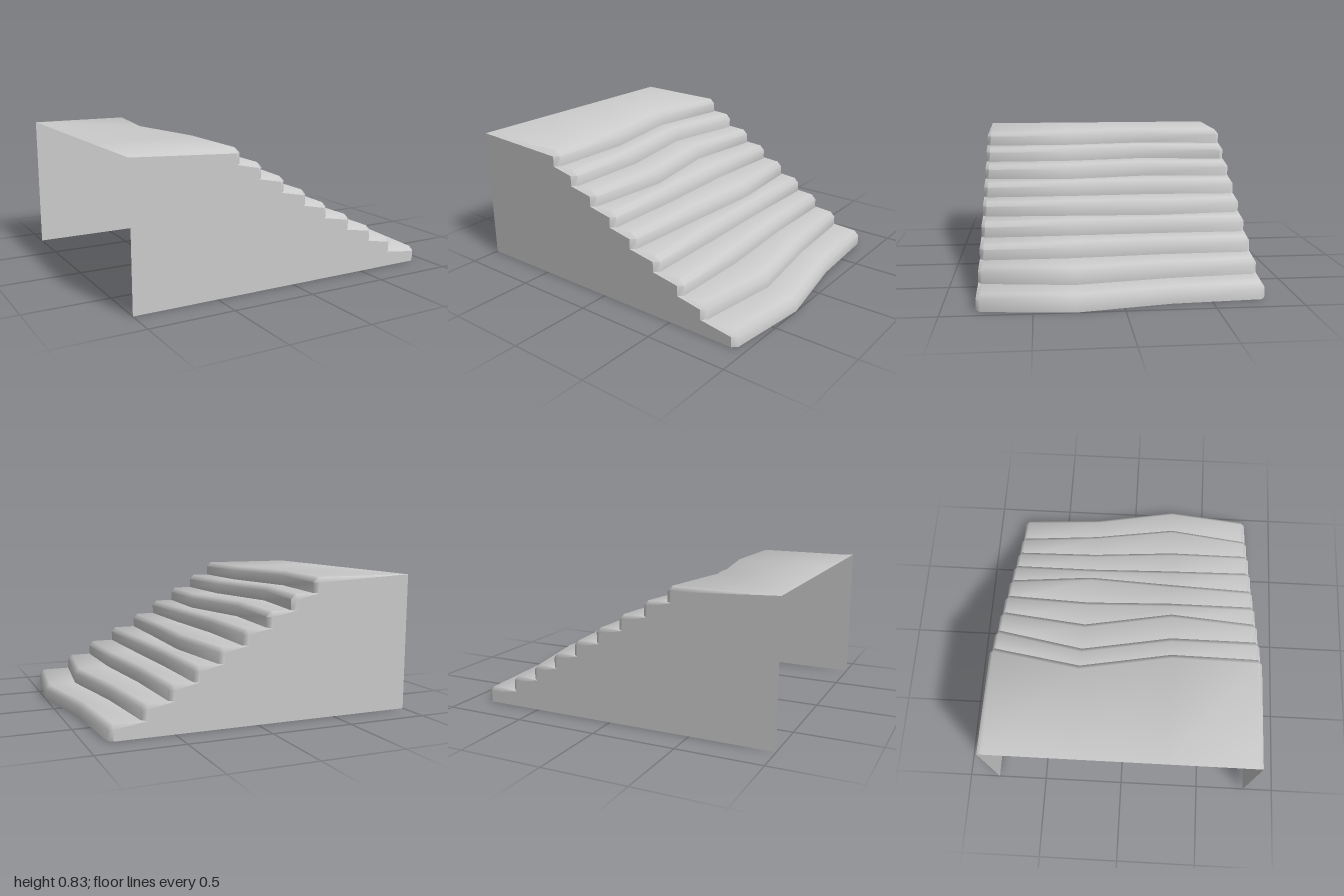
import * as THREE from 'three';
import { toCreasedNormals } from 'three/addons/utils/BufferGeometryUtils.js';

const HALF_DEPTH = 0.81, BACK = -1, HEIGHT = 0.83, BEVEL = 0.03;

// Nosing x of each step, bottom to top, at four stations from z = -0.81 to 0.81
const NOSINGS = [
  [0.875, 0.905, 1.0, 0.945],
  [0.685, 0.725, 0.805, 0.74],
  [0.53, 0.54, 0.58, 0.58],
  [0.385, 0.385, 0.40, 0.41],
  [0.24, 0.285, 0.26, 0.24],
  [0.09, 0.07, 0.09, 0.09],
  [-0.06, -0.115, -0.02, -0.06],
  [-0.215, -0.305, -0.21, -0.21],
  [-0.36, -0.44, -0.345, -0.35],
];
const RISE = HEIGHT / NOSINGS.length;

// Stair profile at one station; at the two ends the nosing is cut back to the bevel's inner line
function profile(station, isEnd) {
  const points = [];
  NOSINGS.forEach((row, k) => {
    const x = row[station] - (isEnd ? BEVEL : 0);
    const low = k * RISE, top = low + RISE;
    points.push([x, low], [x, top - BEVEL]);
    points.push(isEnd ? [x, top - BEVEL] : [x - BEVEL, top]);
  });
  points.push([BACK, HEIGHT]);
  return points;
}

// Skin of risers, bevelled nosings, treads and the top landing
function stepsGeometry() {
  const third = HALF_DEPTH / 3, inner = HALF_DEPTH - 0.025;
  const sections = [
    [-HALF_DEPTH, 0, true], [-inner, 0, false], [-third, 1, false],
    [third, 2, false], [inner, 3, false], [HALF_DEPTH, 3, true],
  ].map(([z, station, isEnd]) =>
    profile(station, isEnd).map(([x, y]) => new THREE.Vector3(x, y, z)));

  const positions = [];
  const addTriangle = (a, b, c) => {
    if (new THREE.Triangle(a, b, c).getArea() < 1e-7) return;
    for (const p of [a, b, c]) positions.push(p.x, p.y, p.z);
  };
  for (let i = 0; i < sections.length - 1; i++) {
    const s = sections[i], t = sections[i + 1];
    for (let j = 0; j < s.length - 1; j++) {
      addTriangle(s[j], s[j + 1], t[j]);
      addTriangle(s[j + 1], t[j + 1], t[j]);
    }
  }
  const geometry = new THREE.BufferGeometry();
  geometry.setAttribute('position', new THREE.Float32BufferAttribute(positions, 3));
  return toCreasedNormals(geometry, Math.PI / 3);
}

// Flat side wall following the stair profile down to the ground
function wallGeometry(station) {
  const outline = profile(station, true)
    .filter(([x, y], j, all) => !j || x !== all[j - 1][0] || y !== all[j - 1][1])
    .map(([x, y]) => new THREE.Vector2(x, y));
  outline.push(new THREE.Vector2(BACK, 0));
  return new THREE.ShapeGeometry(new THREE.Shape(outline));
}

export function createModel() {
  const group = new THREE.Group();
  group.name = 'steps';
  const material = new THREE.MeshStandardMaterial({ color: 0xcccccc, side: THREE.DoubleSide });
  const add = (name, geometry, z = 0) => {
    const mesh = new THREE.Mesh(geometry, material);
    mesh.name = name;
    mesh.position.z = z;
    group.add(mesh);
    return mesh;
  };

  // The shell is open underneath and at the tall end
  add('stairSurface', stepsGeometry());
  add('frontWall', wallGeometry(3), HALF_DEPTH);
  // Reverse the rear wall's winding so that it faces outward
  const rear = wallGeometry(0);
  rear.setIndex(Array.from(rear.index.array).reverse());
  rear.computeVertexNormals();
  add('rearWall', rear, -HALF_DEPTH);
  return group;
}
